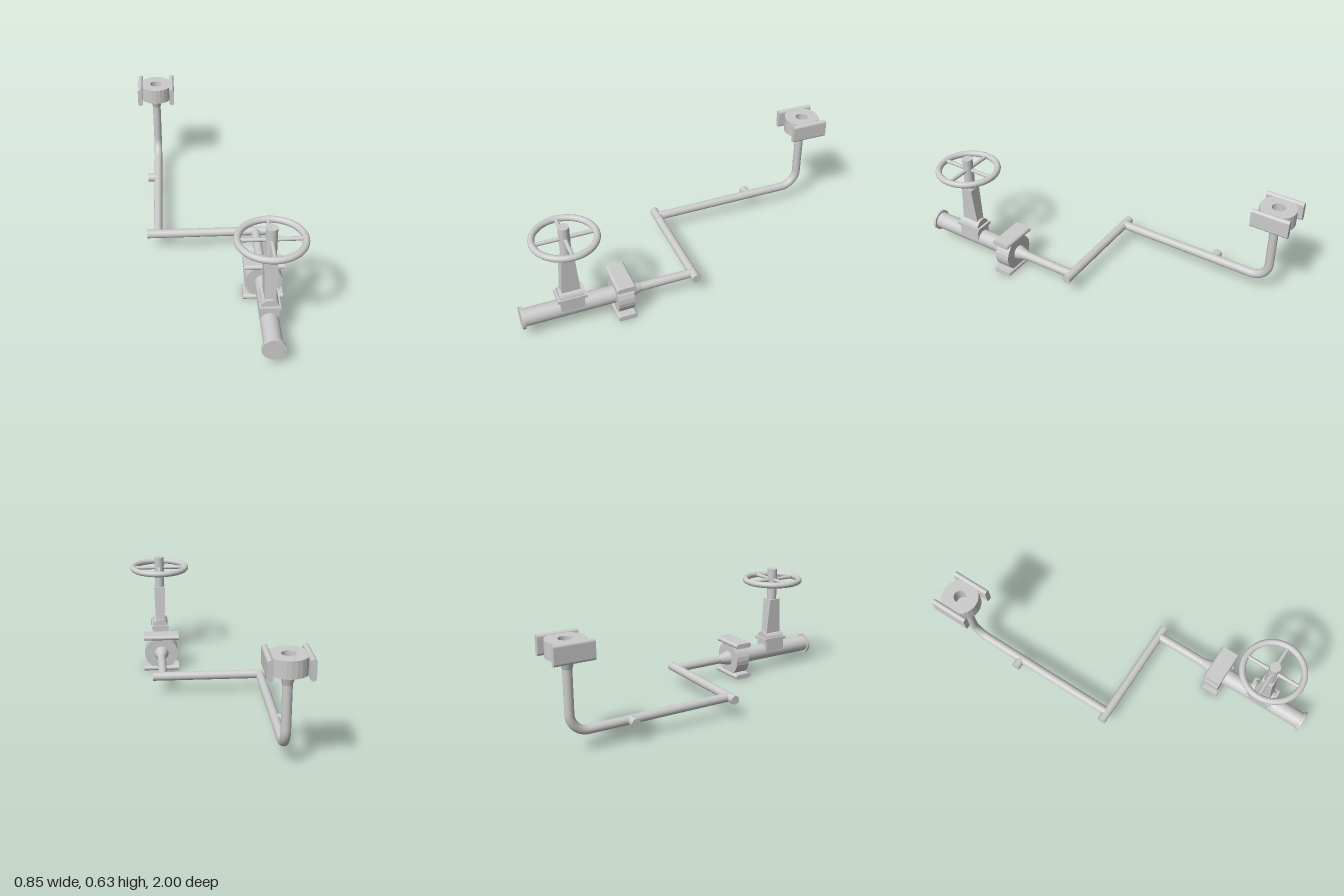
import * as THREE from 'three';

const material = new THREE.MeshStandardMaterial({ color: 0xcccccc });
const V = (x, y, z) => new THREE.Vector3(x, y, z);
const UP = V(0, 1, 0);

function part(parent, name, geometry, x = 0, y = 0, z = 0) {
  const mesh = new THREE.Mesh(geometry, material);
  mesh.name = name;
  mesh.position.set(x, y, z);
  parent.add(mesh);
  return mesh;
}

// Round bar or cone from point a (radius ra) to point b (radius rb)
function rod(parent, name, a, b, ra, rb = ra, sides = 24) {
  const dir = b.clone().sub(a);
  const mesh = part(parent, name, new THREE.CylinderGeometry(rb, ra, dir.length(), sides));
  mesh.position.copy(a).add(b).multiplyScalar(0.5);
  mesh.quaternion.setFromUnitVectors(UP, dir.normalize());
  return mesh;
}

// Profile in XY, extruded along z and centred on z
function extrude(shape, depth) {
  return new THREE.ExtrudeGeometry(shape, { depth, bevelEnabled: false, curveSegments: 12 })
    .translate(0, 0, -depth / 2);
}

// Bored drum held between two round-edged plates; bore runs along local y
function createClamp(name) {
  const clamp = new THREE.Group();
  clamp.name = name;
  const ring = new THREE.Shape().absarc(0, 0, 0.1, 0, Math.PI * 2);
  ring.holes.push(new THREE.Path().absarc(0, 0, 0.035, 0, Math.PI * 2, true));
  part(clamp, 'drum', extrude(ring, 0.088).rotateX(-Math.PI / 2));

  const r = 0.0145, h = 0.053 - r;
  const stadium = new THREE.Shape();
  stadium.absarc(0, h, r, 0, Math.PI);
  stadium.absarc(0, -h, r, Math.PI, Math.PI * 2);
  for (const side of [-1, 1]) part(clamp, 'clampPlate', extrude(stadium, 0.212), side * 0.097);
  return clamp;
}

export function createModel() {
  const model = new THREE.Group();
  model.name = 'valvePipeAssembly';
  const X = 0.241, Y = 0.115, REAR = -0.313, R = 0.0245, VZ = 0.728;

  // Valve pipe with end flange
  rod(model, 'valvePipe', V(X, Y, 0.42), V(X, Y, 0.99), 0.048);
  rod(model, 'endFlange', V(X, Y, 0.985), V(X, Y, 1), 0.06);

  // Front clamp with reducer behind it
  const frontClamp = createClamp('frontClamp');
  frontClamp.rotation.set(Math.PI / 2, 0, 0);
  frontClamp.rotateY(Math.PI / 2);
  frontClamp.position.set(X, Y, 0.45);
  model.add(frontClamp);
  rod(model, 'frontReducer', V(X, Y, 0.34), V(X, Y, 0.41), R, 0.044);

  // Pipe run: short leg, cross pipe, long leg with elbow and riser
  rod(model, 'frontPipe', V(X, Y, 0.04), V(X, Y, 0.345), R);
  rod(model, 'crossPipe', V(-0.374, Y, 0.037), V(0.298, Y, 0.037), R);
  rod(model, 'rearPipe', V(REAR, Y, 0.037), V(REAR, Y, -0.79), R);
  const bend = new THREE.QuadraticBezierCurve3(V(REAR, Y, -0.79), V(REAR, Y, -0.89), V(REAR, 0.215, -0.89));
  bend.getPoint = (t, target = V(0, 0, 0)) => target.set(REAR,
    0.215 - 0.1 * Math.cos(t * Math.PI / 2), -0.79 - 0.1 * Math.sin(t * Math.PI / 2));
  part(model, 'elbow', new THREE.TubeGeometry(bend, 16, R, 24));
  rod(model, 'riser', V(REAR, 0.215, -0.89), V(REAR, 0.45, -0.89), R);
  rod(model, 'sideStub', V(REAR, Y, -0.56), V(-0.374, Y, -0.56), R);

  // Rear clamp on its cone
  rod(model, 'rearReducer', V(REAR, 0.445, -0.89), V(REAR, 0.512, -0.89), R, 0.045);
  const rearClamp = createClamp('rearClamp');
  rearClamp.position.set(REAR, 0.553, -0.894);
  model.add(rearClamp);

  // Valve body, bonnet flange and arched bonnet
  part(model, 'valveBody', new THREE.BoxGeometry(0.094, 0.085, 0.13), X, 0.15, VZ);
  part(model, 'bonnetFlange', new THREE.BoxGeometry(0.108, 0.017, 0.158), X, 0.197, VZ);
  const arch = new THREE.Shape().absellipse(0, 0, 0.047, 0.045, 0, Math.PI);
  part(model, 'bonnet', extrude(arch, 0.13), X, 0.198, VZ);

  // Yoke: wider in x and narrower in z towards its top
  const yoke = new THREE.BoxGeometry(1, 0.23, 1);
  const p = yoke.attributes.position;
  for (let i = 0; i < p.count; i++) {
    const top = p.getY(i) > 0;
    p.setX(i, p.getX(i) * (top ? 0.07 : 0.053));
    p.setZ(i, p.getZ(i) * (top ? 0.068 : 0.104));
  }
  yoke.computeVertexNormals();
  part(model, 'yoke', yoke, X, 0.333, VZ);

  // Stem and handwheel
  rod(model, 'stem', V(X, 0.44, VZ), V(X, 0.636, VZ), 0.029);
  const wheel = new THREE.Group();
  wheel.name = 'handwheel';
  wheel.position.set(X, 0.568, VZ);
  part(wheel, 'rim', new THREE.TorusGeometry(0.164, 0.0175, 16, 48).rotateX(Math.PI / 2));
  rod(wheel, 'spoke', V(-0.16, 0, 0), V(0.16, 0, 0), 0.011, 0.011, 12);
  rod(wheel, 'spoke', V(0, 0, -0.16), V(0, 0, 0.16), 0.011, 0.011, 12);
  model.add(wheel);

  return model;
}
